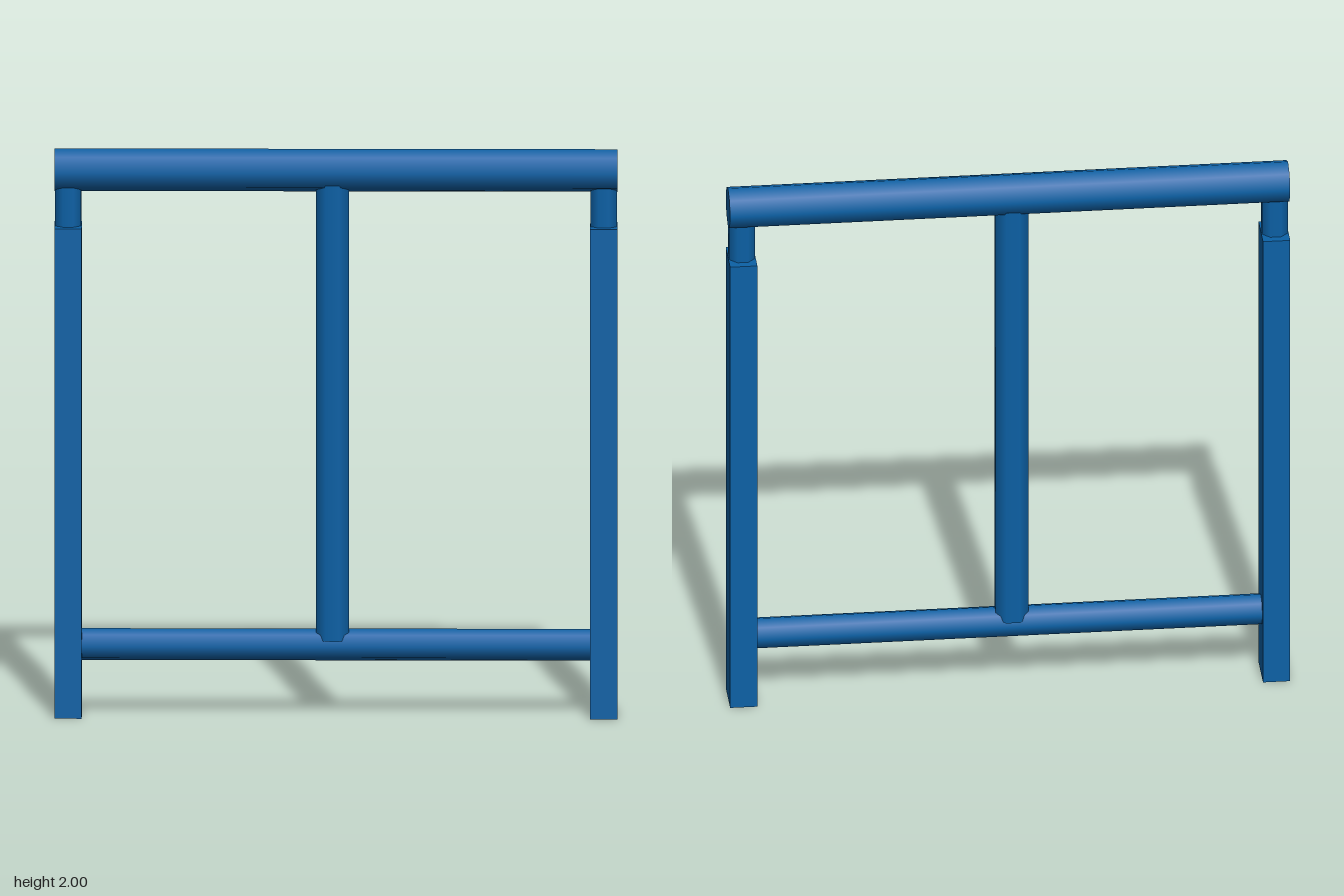
import * as THREE from 'three';

const SIDES = 8;

export function createModel() {
  const group = new THREE.Group();
  const blue = new THREE.MeshStandardMaterial({ color: 0x0c61a6 });
  blue.name = 'blue paint';

  function add(name, geometry, x, y) {
    const mesh = new THREE.Mesh(geometry, blue);
    mesh.name = name;
    mesh.position.set(x, y, 0);
    group.add(mesh);
    return mesh;
  }

  // Smooth-shaded round bar, lying along x
  function rail(name, radius, length, y) {
    const geometry = new THREE.CylinderGeometry(radius, radius, length, SIDES);
    geometry.rotateZ(Math.PI / 2);
    return add(name, geometry, 0, y);
  }

  // Smooth-shaded round bar, standing between two heights
  function upright(name, radius, x, y0, y1) {
    const geometry = new THREE.CylinderGeometry(radius, radius, y1 - y0, SIDES);
    geometry.rotateY(Math.PI / SIDES);
    return add(name, geometry, x, (y0 + y1) / 2);
  }

  // Horizontal rails
  rail('topRail', 0.075, 1.955, 1.925);
  rail('bottomRail', 0.056, 1.78, 0.25);

  // Middle bar
  upright('middleBar', 0.062, -0.012, 0.27, 1.88);

  // Square posts with a round peg under the top rail
  for (const [side, s] of [['left', 1], ['right', -1]]) {
    add(side + 'Post', new THREE.BoxGeometry(0.095, 1.73, 0.15), s * 0.93, 0.865);
    upright(side + 'Peg', 0.049, s * 0.93, 1.7, 1.9);
  }

  return group;
}
